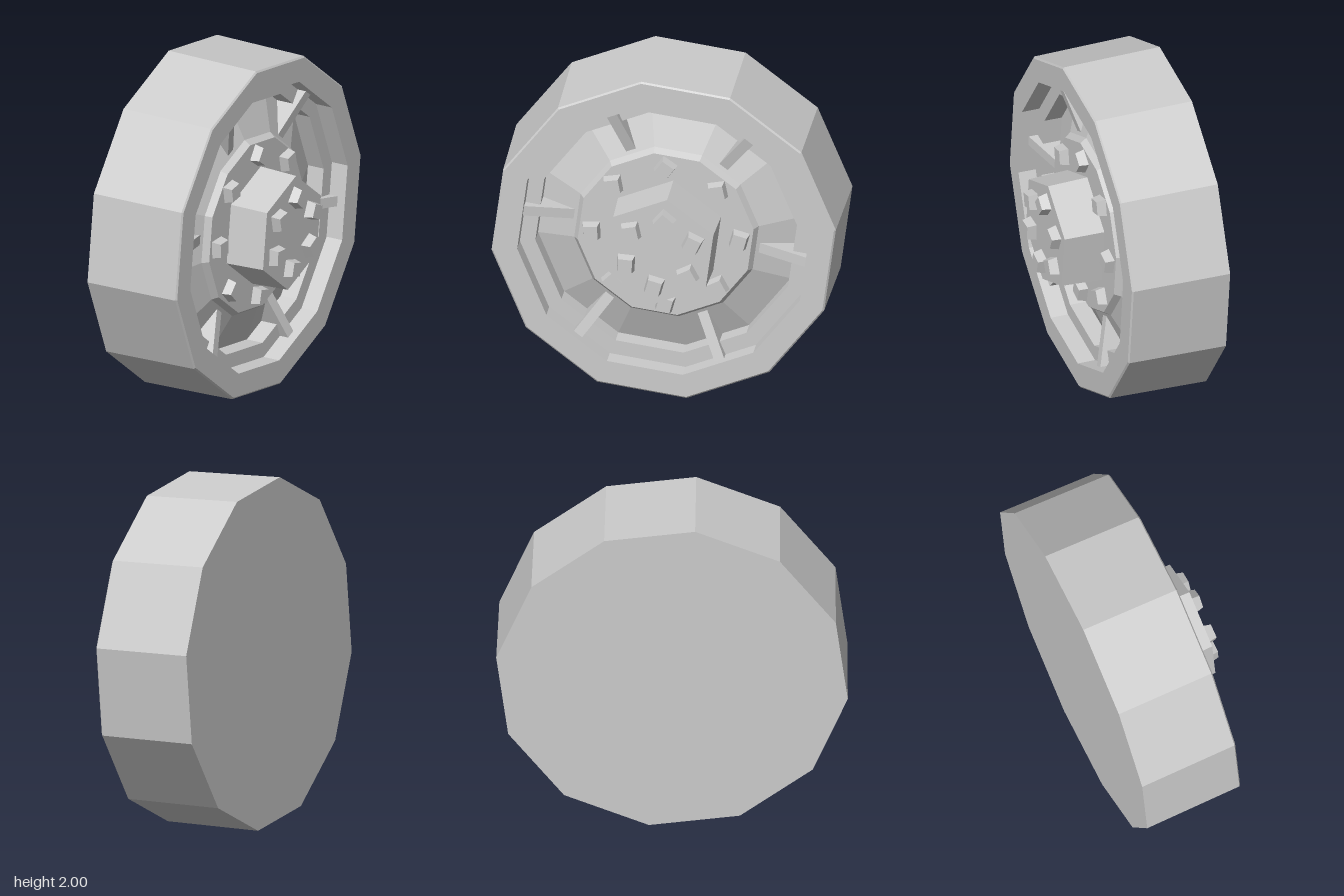
import * as THREE from 'three';

const rad = THREE.MathUtils.degToRad;
const material = new THREE.MeshStandardMaterial({ color: 0xcccccc, flatShading: true });

function add(parent, name, geometry) {
  const mesh = new THREE.Mesh(geometry, material);
  mesh.name = name;
  parent.add(mesh);
  return mesh;
}

// Ring of tapered square bolts; angles run from the top of the wheel towards +z
function addBolts(parent, name, radius, base, startAngle, tilts) {
  const group = new THREE.Group();
  group.name = name;
  const height = 0.055;
  const geometry = new THREE.CylinderGeometry(0.057, 0.071, height, 4).rotateY(Math.PI / 4);
  tilts.forEach((tilt, i) => {
    const a = rad(startAngle + (i * 360) / tilts.length);
    const bolt = add(group, 'bolt', geometry);
    bolt.position.set(-radius * Math.cos(a), base + height / 2 - 0.002, radius * Math.sin(a));
    bolt.rotation.y = rad(tilt);
  });
  parent.add(group);
}

export function createModel() {
  const model = new THREE.Group();
  model.name = 'wheel';

  // Built with the axle along y, then laid so the axle points along +x
  const wheel = new THREE.Group();
  wheel.name = 'wheelBody';
  wheel.rotation.z = -Math.PI / 2;
  wheel.position.y = 1;
  model.add(wheel);

  // Tyre, stepped rim, dished face and hub plate in one profile: [radius, axle position]
  const profile = [
    [0, -0.4], [1.0085, -0.4], [0.998, 0.182], [0.988, 0.19],
    [0.848, 0.19], [0.848, 0.085], [0.758, 0.085], [0.758, -0.02],
    [0.535, 0.07], [0.51, 0.107], [0, 0.107],
  ].map(([r, h]) => new THREE.Vector2(r, h));
  add(wheel, 'tyreAndRim', new THREE.LatheGeometry(profile, 12, rad(7.5)));

  // Six-sided hub cap
  const cap = add(wheel, 'hubCap', new THREE.CylinderGeometry(0.335, 0.345, 0.245, 6, 1, false, rad(22.5)));
  cap.position.y = 0.2225;

  // Bolts on the hub plate and on the cap
  addBolts(wheel, 'hubBolts', 0.425, 0.107, 0, [-35, 10, 3, 45, -15, 28, -15, 12]);
  addBolts(wheel, 'capBolts', 0.207, 0.345, -8, [-40, 12, -3, -15, 28, -25]);

  // Sloping ribs from the hub plate to the rim step
  const ribShape = new THREE.Shape([
    [0.53, -0.05], [0.82, -0.05], [0.82, 0.14], [0.53, 0.06],
  ].map(([r, h]) => new THREE.Vector2(r, h)));
  const width = 0.06;
  const ribGeometry = new THREE.ExtrudeGeometry(ribShape, { depth: width, bevelEnabled: false });
  ribGeometry.translate(0, 0, -width / 2);
  for (let i = 0; i < 6; i++) {
    add(wheel, 'rib', ribGeometry).rotation.y = rad(22.5 + i * 60);
  }

  return model;
}
